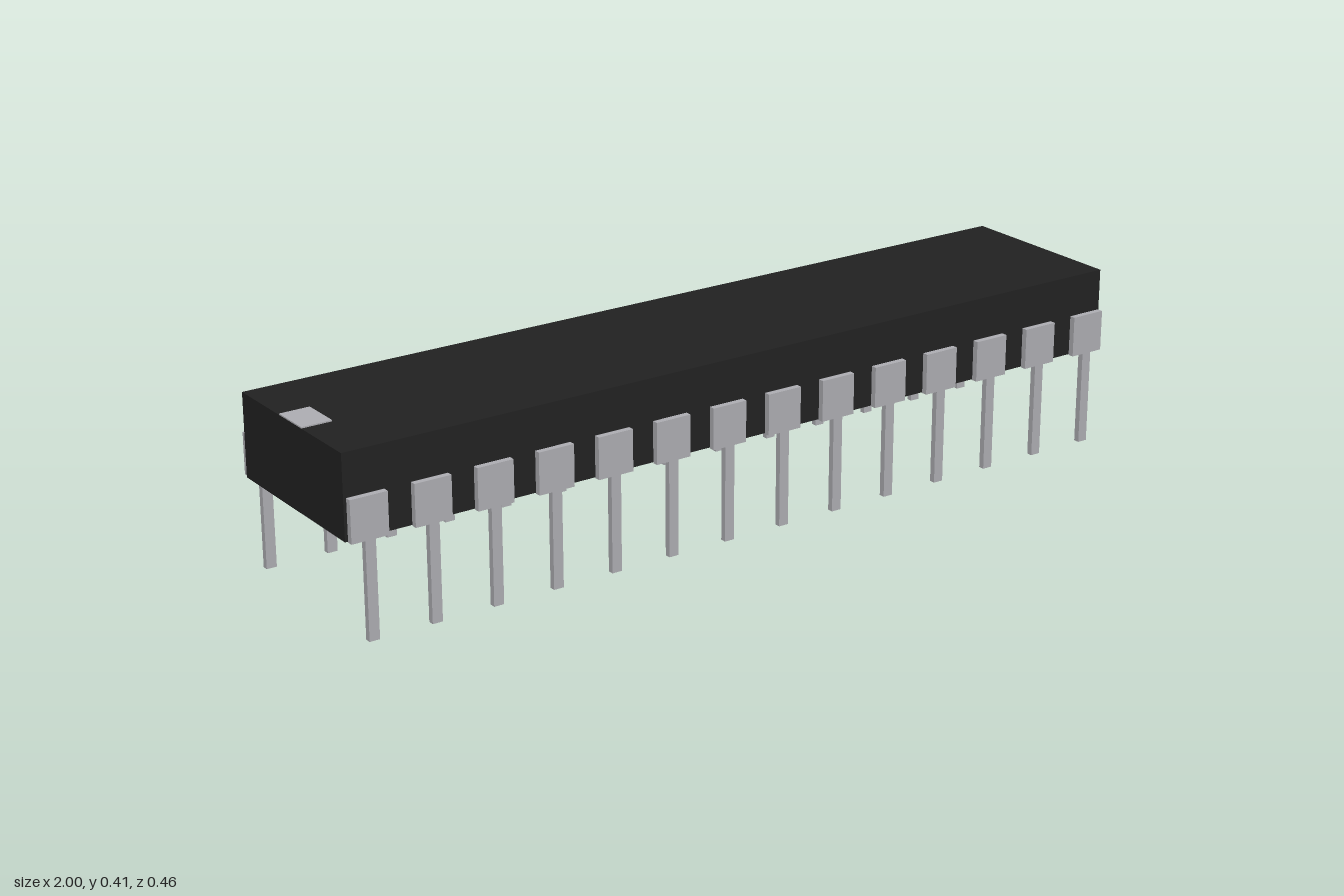
import * as THREE from 'three';

export function createModel() {
  const model = new THREE.Group();
  model.name = 'dualInlineChip';

  const plastic = new THREE.MeshStandardMaterial({ color: 0x222222 });
  plastic.name = 'black plastic';
  const metal = new THREE.MeshStandardMaterial({ color: 0xb0b0b5 });
  metal.name = 'silver metal';

  // Adds a box given its size and the position of its bottom centre
  function addBox(parent, name, material, [w, h, d], [x, y, z]) {
    const mesh = new THREE.Mesh(new THREE.BoxGeometry(w, h, d), material);
    mesh.name = name;
    mesh.position.set(x, y + h / 2, z);
    parent.add(mesh);
  }

  const bodyBottom = 0.22;
  const bodyTop = 0.41;

  // Package body and the marker for the first pin's end
  addBox(model, 'body', plastic, [2, bodyTop - bodyBottom, 0.42], [0, bodyBottom, 0]);
  addBox(model, 'orientationMark', metal, [0.07, 0.003, 0.094], [-0.965, bodyTop, 0]);

  // Two rows of pins: a wide shoulder beside the body, a narrow leg below
  const pinsPerRow = 14;
  const pitch = 0.1465;
  const thickness = 0.014;
  for (const side of [1, -1]) {
    const row = new THREE.Group();
    row.name = side > 0 ? 'frontPinRow' : 'backPinRow';
    row.position.z = side * 0.221;
    for (let i = 0; i < pinsPerRow; i++) {
      const pin = new THREE.Group();
      pin.name = `pin${i + 1}`;
      pin.position.x = (i - (pinsPerRow - 1) / 2) * pitch;
      addBox(pin, 'shoulder', metal, [0.086, 0.095, thickness], [0, bodyBottom, 0]);
      addBox(pin, 'leg', metal, [0.024, bodyBottom, thickness], [0, 0, 0]);
      row.add(pin);
    }
    model.add(row);
  }

  return model;
}
